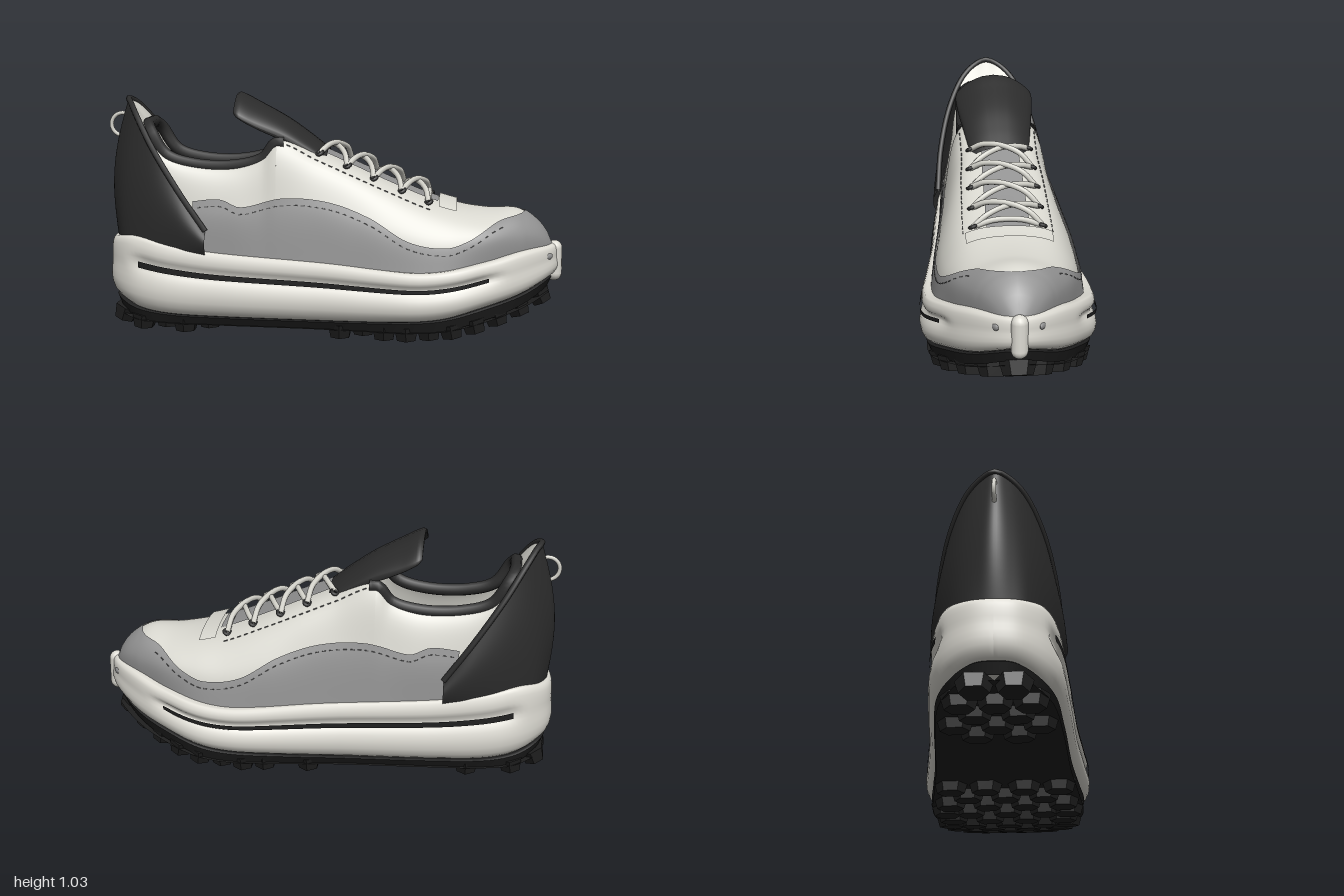
import * as THREE from 'three';

const mat = (name, color) => {
  const m = new THREE.MeshStandardMaterial({ color, side: THREE.DoubleSide });
  m.name = name;
  return m;
};
const V = (x, y, z) => new THREE.Vector3(x, y, z);
const { lerp, smoothstep } = THREE.MathUtils;

// Smooth interpolation of a table whose rows start with x
function row(tab, x) {
  const n = tab.length;
  x = Math.min(Math.max(x, tab[0][0]), tab[n - 1][0]);
  let i = 0;
  while (i < n - 2 && x > tab[i + 1][0]) i++;
  const slope = (k, c) => {
    const a = tab[Math.max(k - 1, 0)], b = tab[Math.min(k + 1, n - 1)];
    return (b[c] - a[c]) / (b[0] - a[0]);
  };
  const h = tab[i + 1][0] - tab[i][0], t = (x - tab[i][0]) / h, t2 = t * t, t3 = t2 * t;
  return tab[i].map((v, c) => v * (2 * t3 - 3 * t2 + 1) + tab[i + 1][c] * (3 * t2 - 2 * t3)
    + h * (slope(i, c) * (t3 - 2 * t2 + t) + slope(i + 1, c) * (t3 - t2)));
}

// Surface from a function of u and v in 0..1
function grid(f, nu, nv) {
  const pos = [], idx = [];
  for (let i = 0; i <= nu; i++) for (let j = 0; j <= nv; j++) pos.push(...f(i / nu, j / nv).toArray());
  for (let i = 0; i < nu; i++) for (let j = 0; j < nv; j++) {
    const a = i * (nv + 1) + j, b = a + nv + 1;
    idx.push(a, b, a + 1, b, b + 1, a + 1);
  }
  const g = new THREE.BufferGeometry();
  g.setAttribute('position', new THREE.Float32BufferAttribute(pos, 3));
  g.setIndex(idx);
  g.computeVertexNormals();
  return g;
}

// Half outline of the sole: x, half width
const PLAN = [[-.993, 0], [-.975, .1], [-.9, .19], [-.78, .25], [-.5, .285], [-.1, .315], [.15, .345], [.38, .37],
  [.55, .355], [.7, .29], [.82, .215], [.92, .125], [.97, .055], [.985, 0]];
// Sole heights: x, outsole bottom, midsole bottom, midsole top
const SOLE = [[-.99, .09, .14, .4], [-.87, .05, .1, .415], [-.7, .04, .08, .385], [-.5, .04, .075, .357], [0, .04, .075, .325],
  [.35, .04, .085, .297], [.5, .05, .1, .305], [.7, .09, .145, .34], [.85, .135, .185, .372], [.985, .2, .245, .385]];
// Upper sections: x, base y, base z, mid z, mid y, shoulder z, shoulder y, crown y
const UPPER = [[-.88, .35, .12, .11, .6, .09, .82, .84], [-.8, .34, .185, .17, .6, .125, .86, .88],
  [-.72, .33, .215, .195, .55, .14, .77, .79], [-.6, .32, .235, .215, .53, .15, .725, .745],
  [-.42, .31, .25, .228, .53, .155, .72, .74], [-.29, .3, .26, .23, .54, .155, .77, .79],
  [-.23, .29, .265, .235, .55, .155, .835, .85], [-.05, .28, .28, .24, .56, .155, .755, .78],
  [.1, .27, .295, .255, .52, .165, .69, .715], [.25, .26, .31, .27, .48, .17, .625, .65],
  [.42, .26, .315, .273, .44, .175, .555, .585], [.55, .27, .295, .26, .43, .17, .52, .55],
  [.68, .28, .235, .225, .43, .15, .5, .535], [.8, .3, .165, .163, .43, .11, .5, .535],
  [.88, .31, .11, .11, .42, .075, .465, .49], [.93, .32, .065, .065, .39, .045, .42, .435], [.955, .32, .03, .03, .36, .02, .375, .38]];
// Top edge of the overlay: x, y
const GUARD = [[-.6, .565], [-.47, .575], [-.38, .545], [-.2, .585], [0, .572], [.18, .51], [.34, .42], [.5, .395],
  [.6, .425], [.72, .492], [.82, .515], [.87, .53], [.96, .6]];

// Point on the upper: t runs 0 (left base) through .5 (crown) to 1 (right base); k swells it outward
function upperAt(x, t, k = 1) {
  const [, yb, wb, wm, ym, ws, ys, yt] = row(UPPER, x);
  const c = new THREE.CatmullRomCurve3([V(x, yb, wb), V(x, ym, wm), V(x, ys, ws), V(x, yt, 0),
    V(x, ys, -ws), V(x, ym, -wm), V(x, yb, -wb)]);
  const p = c.getPoint(t);
  return p.set(x, .3 + (p.y - .3) * k, p.z * k);
}
function tAtHeight(x, y) {
  let lo = 0, hi = .5;
  for (let i = 0; i < 14; i++) {
    const m = (lo + hi) / 2;
    if (upperAt(x, m).y < y) lo = m; else hi = m;
  }
  return lo;
}

export function createModel() {
  const shoe = new THREE.Group();
  shoe.name = 'shoe';
  const M = {
    upper: mat('off white fabric', 0xd8d7cf), sole: mat('off white foam', 0xdedcd4), grey: mat('grey overlay', 0x929292),
    black: mat('black trim', 0x2b2b2b), rubber: mat('black rubber', 0x1f1f1f), lace: mat('pale lace', 0xd2d1c9),
    stitch: mat('dark grey thread', 0x5c5c5c)
  };
  const add = (name, geo, m, parent = shoe) => {
    const mesh = new THREE.Mesh(geo, m);
    mesh.name = name;
    parent.add(mesh);
    return mesh;
  };
  const group = name => {
    const g = new THREE.Group();
    g.name = name;
    shoe.add(g);
    return g;
  };
  const tube = (pts, r, n = 40) => new THREE.TubeGeometry(new THREE.CatmullRomCurve3(pts), n, r, 8);

  // Sole rings follow the plan outline; profile rows: height fraction, inset, extra groove depth along the sides
  const plan = new THREE.CatmullRomCurve3([...PLAN.map(([x, z]) => V(x, 0, z)),
    ...PLAN.slice(1, -1).reverse().map(([x, z]) => V(x, 0, -z))], true);
  const ring = (profile, lo, hi) => grid((u, v) => {
    const [f, inset, groove = 0] = profile[Math.round(v * (profile.length - 1))];
    const p = plan.getPoint(u), d = plan.getTangent(u), s = row(SOLE, p.x);
    const i = inset + groove * smoothstep(p.x, -.9, -.8) * (1 - smoothstep(p.x, .64, .78));
    return V(p.x + d.z * i, lerp(s[lo], s[hi], f), p.z - d.x * i);
  }, 140, profile.length - 1);
  add('midsole', ring([[0, .05], [.05, .03], [.12, .014], [.22, .004], [.34, 0], [.46, .002, .003], [.55, .004, .012], [.61, .005, .023],
    [.68, .005, .023], [.74, .005, .011], [.81, .006, .004], [.89, .008, .004], [.95, .013, .004], [.99, .022], [1, .035], [.99, .08]], 2, 3), M.sole);
  add('outsole', ring([[1, .07], [1.08, .035], [.95, .026], [.95, .026], [0, .045]], 1, 2), M.rubber);
  add('outsoleBottom', grid((u, v) => {
    const x = lerp(-.94, .94, u);
    return V(x, row(SOLE, x)[1], lerp(-1, 1, v) * (row(PLAN, x)[1] - .03));
  }, 60, 4), M.rubber);

  // Thin dark line in the midsole groove, both sides
  const midsoleLine = group('midsoleLines');
  for (const s of [1, -1]) add('midsoleLine', grid((u, v) => {
    const x = lerp(-.83, .68, u), y = row(SOLE, x);
    return V(x, lerp(y[2], y[3], .6 + v * .085), s * (row(PLAN, x)[1] - .002));
  }, 60, 1), M.rubber, midsoleLine);

  // Tread blocks at heel and forefoot, kept inside the outline
  const tread = group('tread');
  const lug = new THREE.CylinderGeometry(1, .78, 1, 6).toNonIndexed();
  lug.scale(.058, .06, .076);
  lug.computeVertexNormals();
  const lugRows = (from, to) => {
    for (let x = from, i = 0; x < to; x += .095, i++) {
      const limit = row(PLAN, x)[1] - .1;
      for (const z of i % 2 ? [0, .165, -.165, .3, -.3] : [.083, -.083, .248, -.248]) {
        if (Math.abs(z) > limit + .05) continue;
        const y = row(SOLE, x)[1], m = add('treadBlock', lug, M.rubber, tread);
        m.rotation.z = Math.atan((row(SOLE, x + .03)[1] - row(SOLE, x - .03)[1]) / .06);
        m.position.set(x, y - .01, Math.sign(z) * Math.min(Math.abs(z), Math.max(limit, .04)));
      }
    }
  };
  lugRows(-.92, -.46);
  lugRows(.05, .93);

  // Toe bumper ridge and dots
  add('toeRidge', new THREE.CapsuleGeometry(.034, .11, 6, 14), M.sole).position.set(.966, .305, 0);
  for (const s of [1, -1]) {
    const dot = add('toeDot', new THREE.SphereGeometry(.02, 14, 8), M.grey);
    dot.scale.set(.4, .7, 1);
    dot.rotation.y = -s * .95;
    dot.position.set(.938, .337, s * .092);
  }

  // Upper: closed front, two rear quarters, insole
  add('vamp', grid((u, v) => upperAt(lerp(-.23, .955, u), v), 60, 48), M.upper);
  for (const s of [0, 1]) add('quarter', grid((u, v) => upperAt(lerp(-.88, -.23, u), s ? 1 - v / 3 : v / 3), 40, 20), M.upper);
  add('insole', grid((u, v) => V(lerp(-.82, .2, u), .4, lerp(-.18, .18, v)), 4, 2), M.upper);

  // Grey mudguard rising into the toe cap
  for (const s of [0, 1]) add('mudguard', grid((u, v) => {
    const x = lerp(-.59, .955, u), t = tAtHeight(x, row(GUARD, x)[1]) * v;
    return upperAt(x, s ? 1 - t : t, 1.03);
  }, 80, 24), M.grey);

  // Grey tongue strip under the laces and the vamp tab below it
  add('tongueStrip', grid((u, v) => upperAt(lerp(-.08, .46, u), lerp(.42, .58, v), 1.015), 30, 10), M.grey);
  add('vampTab', grid((u, v) => upperAt(lerp(.465, .54, u), lerp(.34, .66, v), 1.07), 6, 24), M.upper);

  // Stitching
  const stitches = group('stitching');
  const dash = new THREE.BoxGeometry(.017, .004, .004);
  const stitch = (f, from, to) => {
    for (let x = from; x < to; x += .03) {
      const a = f(x), m = add('stitch', dash, M.stitch, stitches);
      m.position.copy(a);
      m.quaternion.setFromUnitVectors(V(1, 0, 0), f(x + .01).sub(a).normalize());
    }
  };
  for (const s of [0, 1]) {
    stitch(x => { const t = tAtHeight(x, row(GUARD, x)[1] - .03); return upperAt(x, s ? 1 - t : t, 1.032); }, -.56, .74);
    stitch(x => upperAt(x, s ? .68 : .32, 1.003), -.18, .45);
  }

  // Heel counter: wraps from the left front edge round the back to the right
  const mirror = pts => new THREE.CatmullRomCurve3([...pts, ...pts.slice(0, -1).reverse().map(p => V(p.x, p.y, -p.z))]);
  const heelTop = mirror([V(-.53, .45, .255), V(-.65, .62, .235), V(-.77, .8, .185), V(-.85, .93, .115), V(-.89, .985, .05), V(-.91, 1, 0)]);
  const heelBase = mirror([V(-.53, .33, .252), V(-.65, .33, .24), V(-.8, .33, .2), V(-.91, .35, .135), V(-.95, .37, .06), V(-.96, .37, 0)]);
  add('heelCounter', grid((u, v) => {
    const p = heelBase.getPoint(u).lerp(heelTop.getPoint(u), v), b = Math.sin(Math.PI * v);
    return V(p.x - b * .045 * Math.sin(Math.PI * u) ** 4, p.y, p.z + b * .025 * Math.cos(Math.PI * u));
  }, 60, 16), M.black);
  add('heelEdge', new THREE.TubeGeometry(heelTop, 60, .013, 8), M.black);

  // Padded collar and the lining behind it
  const half = [V(-.2, .82, .15), V(-.235, .82, .15), V(-.29, .755, .145), V(-.42, .72, .142), V(-.6, .725, .135),
    V(-.72, .765, .13), V(-.785, .86, .12), V(-.805, .89, .08)];
  const collar = [...half, V(-.807, .893, 0), ...half.slice().reverse().map(p => V(p.x, p.y, -p.z))];
  add('collar', tube(collar, .028, 100), M.black);
  add('heelLining', grid((u, v) => heelTop.getPoint(lerp(.28, .72, u)).add(V(.012, -.01, 0))
    .lerp(V(-.81, .88, lerp(.13, -.13, u)), v), 24, 4), M.upper);
  add('backLining', grid((u, v) => V(-.81, lerp(.4, .89, v), lerp(.18, .11, v) * (1 - 2 * u)), 4, 4), M.grey);

  // Pull loop
  add('pullLoop', new THREE.TorusGeometry(.05, .009, 8, 28), M.lace).position.set(-.94, .885, 0);

  // Tongue flap: x, middle y, half width, thickness, droop at the edges
  const FLAP = [[-.42, 1.02, .155, .015, .07], [-.405, 1.012, .172, .04, .075], [-.33, .967, .17, .055, .07], [-.2, .89, .152, .065, .05],
    [-.1, .825, .138, .055, .04], [-.02, .775, .125, .03, .035]];
  add('tongue', grid((u, v) => {
    const [x, y, w, th, d] = row(FLAP, lerp(-.42, -.02, u)), a = v * Math.PI * 2, c = Math.cos(a);
    const e = Math.sign(c) * Math.abs(c) ** .6, s = Math.sin(a);
    return V(x, y + Math.sign(s) * Math.abs(s) ** .6 * th / 2 - d * e * e, w * e);
  }, 30, 48), M.black);

  // Eyelets and crossed laces
  const lacing = group('lacing');
  const eyes = [-.05, .07, .185, .305, .42];
  const eye = (x, s) => upperAt(x, s > 0 ? .37 : .63, 1.015);
  eyes.forEach((x, i) => {
    for (const s of [1, -1]) {
      const eyelet = add('eyelet', new THREE.TorusGeometry(.014, .008, 8, 16), M.black, lacing);
      eyelet.position.copy(eye(x, s));
      eyelet.rotation.set(-Math.PI / 2 + s * .35, -.35, 0);
      if (i === eyes.length - 1) continue;
      const a = eye(x, s), b = eye(eyes[i + 1], -s);
      const mid = (k, h) => a.clone().lerp(b, k).add(V(.01, h + s * .006, 0));
      add('lace', tube([a, mid(.2, .036), mid(.5, .055), mid(.8, .042), b], .0125, 24), M.lace, lacing);
    }
  });
  const end = eyes[4];
  add('laceBar', tube([eye(end, 1), upperAt(end, .45, 1.06), upperAt(end, .55, 1.06), eye(end, -1)], .0125, 20), M.lace, lacing);
  return shoe;
}
